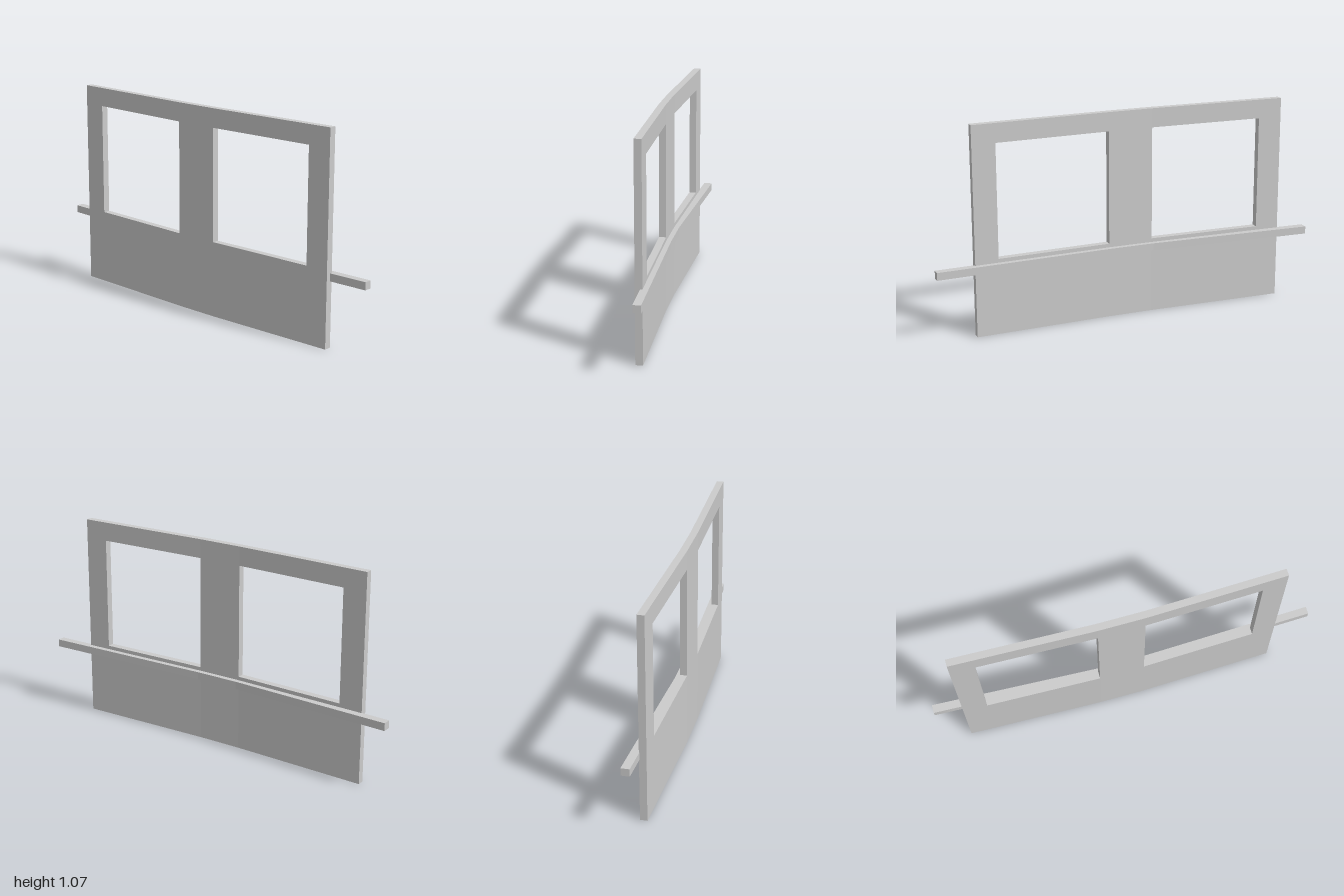
import * as THREE from 'three';

const material = new THREE.MeshStandardMaterial({ color: 0xcccccc, flatShading: true });

// Bent slab on a z/y grid: stations are [z, inner x, outer x]; cells where open(i, j) is true are holes.
function bentSlab(name, stations, ys, open = () => false) {
  const pos = [];
  const quad = (a, b, c, d) => pos.push(...a, ...b, ...c, ...a, ...c, ...d);
  const solid = (i, j) =>
    i >= 0 && j >= 0 && i < stations.length - 1 && j < ys.length - 1 && !open(i, j);
  const pIn = (i, j) => [stations[i][1], ys[j], stations[i][0]];
  const pOut = (i, j) => [stations[i][2], ys[j], stations[i][0]];

  for (let i = 0; i < stations.length - 1; i++) {
    for (let j = 0; j < ys.length - 1; j++) {
      if (!solid(i, j)) continue;
      const k = i + 1, l = j + 1;
      // the two broad faces
      quad(pOut(k, j), pOut(i, j), pOut(i, l), pOut(k, l));
      quad(pIn(i, j), pIn(k, j), pIn(k, l), pIn(i, l));
      // edge faces, only where the neighbouring cell is empty
      if (!solid(i, l)) quad(pIn(i, l), pIn(k, l), pOut(k, l), pOut(i, l));
      if (!solid(i, j - 1)) quad(pOut(i, j), pOut(k, j), pIn(k, j), pIn(i, j));
      if (!solid(k, j)) quad(pIn(k, j), pOut(k, j), pOut(k, l), pIn(k, l));
      if (!solid(i - 1, j)) quad(pIn(i, l), pOut(i, l), pOut(i, j), pIn(i, j));
    }
  }
  const geometry = new THREE.BufferGeometry();
  geometry.setAttribute('position', new THREE.Float32BufferAttribute(pos, 3));
  geometry.computeVertexNormals();
  const mesh = new THREE.Mesh(geometry, material);
  mesh.name = name;
  return mesh;
}

export function createModel() {
  const group = new THREE.Group();
  group.name = 'windowWall';

  // Wall panel: flat central pier, both wings angled slightly outward, two window openings
  const wallX = (z) => -0.054 + 0.03 * Math.max(0, Math.abs(z + 0.025) - 0.117);
  const wallStations = [-0.853, -0.73, -0.14, 0.093, 0.68, 0.8]
    .map((z) => [z, wallX(z), wallX(z) + 0.036]);
  group.add(bentSlab('wallPanel', wallStations, [0, 0.39, 0.97, 1.067],
    (i, j) => j === 1 && (i === 1 || i === 3)));

  // Rail below the windows, following the bend and running past both ends
  const railStations = [
    [-1, 0.006, 0.049],
    [-0.14, -0.029, 0.008],
    [0.093, -0.029, 0.008],
    [1, -0.002, 0.037],
  ];
  group.add(bentSlab('sillRail', railStations, [0.332, 0.371]));

  return group;
}
